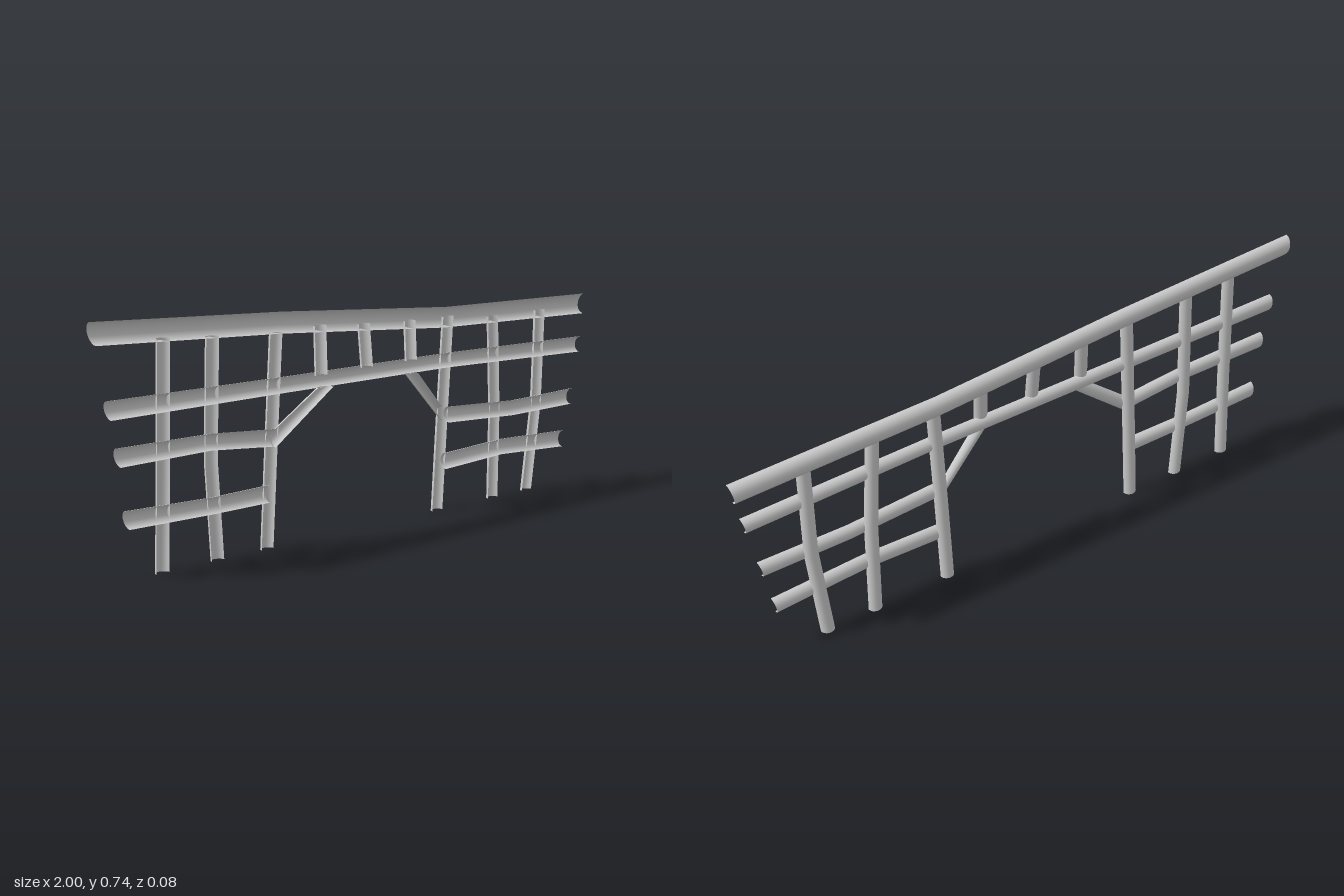
import * as THREE from 'three';

const material = new THREE.MeshStandardMaterial({ color: 0xcccccc, side: THREE.DoubleSide });
const SEGMENTS = 10;

// Half-round open shell, bulging to the back. Each station holds its two
// front edge points and their depth: [x1, y1, x2, y2, z, bulge].
function halfRound(name, stations) {
  const positions = [], index = [];
  stations.forEach(([x1, y1, x2, y2, z, bulge], s) => {
    for (let i = 0; i <= SEGMENTS; i++) {
      const a = (i / SEGMENTS) * Math.PI, c = Math.cos(a) / 2;
      positions.push((x1 + x2) / 2 + (x1 - x2) * c, (y1 + y2) / 2 + (y1 - y2) * c, z - bulge * Math.sin(a));
      if (s > 0 && i > 0) {
        const p = s * (SEGMENTS + 1) + i, q = p - SEGMENTS - 1;
        index.push(q - 1, q, p, q - 1, p, p - 1);
      }
    }
  });
  const geometry = new THREE.BufferGeometry();
  geometry.setAttribute('position', new THREE.Float32BufferAttribute(positions, 3));
  geometry.setIndex(index);
  geometry.computeVertexNormals();
  const mesh = new THREE.Mesh(geometry, material);
  mesh.name = name;
  return mesh;
}

// Horizontal rail from points [xTop, yTop, xBottom, yBottom]
const rail = (name, z, bulge, points) => halfRound(name, points.map((p) => [...p, z, bulge]));

// Upright from centre points [x, y, z]
const upright = (name, points) =>
  halfRound(name, points.map(([x, y, z]) => [x - 0.0225, y, x + 0.0225, y, z, 0.021]));

export function createModel() {
  const group = new THREE.Group();
  group.name = 'fence';

  // Long rails across the whole width
  group.add(rail('topRail', 0.01, 0.029, [
    [-1, 0.738, -0.985, 0.672], [-0.34, 0.706, -0.345, 0.642], [0.33, 0.66, 0.325, 0.595], [1, 0.647, 0.988, 0.58],
  ]));
  group.add(rail('middleRail', 0.021, 0.024, [
    [-0.962, 0.522, -0.95, 0.467], [-0.33, 0.517, -0.33, 0.469], [0.33, 0.516, 0.33, 0.469], [0.97, 0.505, 0.96, 0.453],
  ]));

  // Short rails on either side of the opening
  group.add(rail('leftThirdRail', 0.017, 0.023, [
    [0.337, 0.342, 0.34, 0.29], [0.64, 0.325, 0.64, 0.275], [0.935, 0.33, 0.925, 0.277],
  ]));
  group.add(rail('rightThirdRail', 0.017, 0.023, [
    [-0.932, 0.388, -0.92, 0.333], [-0.61, 0.385, -0.61, 0.336], [-0.37, 0.366, -0.38, 0.315],
  ]));
  group.add(rail('leftLowRail', 0.006, 0.023, [
    [0.337, 0.19, 0.34, 0.137], [0.6, 0.2, 0.6, 0.148], [0.91, 0.187, 0.9, 0.132],
  ]));
  group.add(rail('rightLowRail', 0.006, 0.023, [
    [-0.9, 0.207, -0.888, 0.152], [-0.6, 0.197, -0.6, 0.147], [-0.385, 0.2, -0.39, 0.147],
  ]));

  // Posts, leaning forward: x at ground, x at mid height, x at top, top height
  [
    [-0.762, -0.764, -0.77, 0.672], [-0.565, -0.596, -0.6, 0.66], [-0.38, -0.375, -0.368, 0.647],
    [0.327, 0.33, 0.335, 0.63], [0.585, 0.572, 0.54, 0.612], [0.75, 0.773, 0.765, 0.612],
  ].forEach(([x0, x1, x2, top], i) => {
    const lean = (y) => -0.018 + 0.055 * y;
    group.add(upright(`post${i + 1}`, [[x0, 0, lean(0)], [x1, 0.3, lean(0.3)], [x2, top, lean(top)]]));
  });

  // Short struts above the opening
  [[-0.205, 0.506, -0.197, 0.652], [-0.022, 0.51, -0.022, 0.64], [0.163, 0.51, 0.17, 0.632]]
    .forEach(([x0, y0, x1, y1], i) =>
      group.add(upright(`strut${i + 1}`, [[x0, y0, 0.029], [x1, y1, 0.015]])));

  // Diagonal braces in the corners of the opening
  group.add(halfRound('rightBrace', [
    [-0.372, 0.366, -0.372, 0.31, 0.014, 0.02], [-0.23, 0.472, -0.168, 0.47, 0.039, 0.02],
  ]));
  group.add(halfRound('leftBrace', [
    [0.312, 0.345, 0.312, 0.3, 0.014, 0.02], [0.182, 0.47, 0.13, 0.472, 0.039, 0.02],
  ]));

  return group;
}
